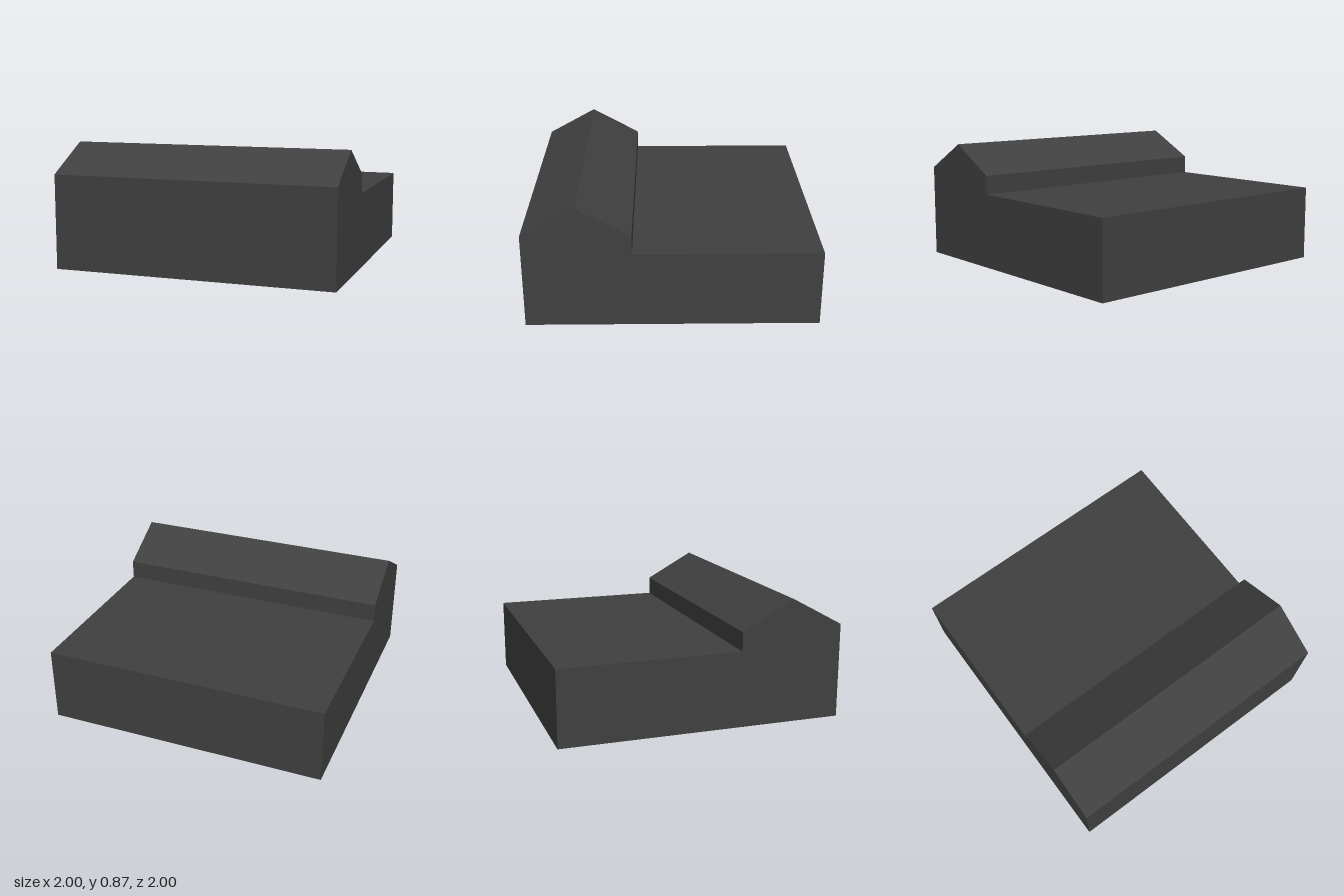
import * as THREE from 'three';

export function createModel() {
  const group = new THREE.Group();
  group.name = 'building';
  const charcoal = new THREE.MeshStandardMaterial({ color: 0x404040 });
  charcoal.name = 'charcoal';

  // Side profile (z, y): flat-roofed rear hall with a gabled front wing
  const profile = new THREE.Shape([
    [-1, 0], [1, 0], [1, 0.667], [0.635, 0.867], [0.27, 0.667], [0.27, 0.533], [-1, 0.533],
  ].map(([z, y]) => new THREE.Vector2(z, y)));

  // Extrude across the full width, turning the profile to run along z
  const geometry = new THREE.ExtrudeGeometry(profile, { depth: 2, bevelEnabled: false });
  geometry.translate(0, 0, -1).rotateY(-Math.PI / 2);

  const body = new THREE.Mesh(geometry, charcoal);
  body.name = 'hallWithGabledFront';
  group.add(body);
  return group;
}
